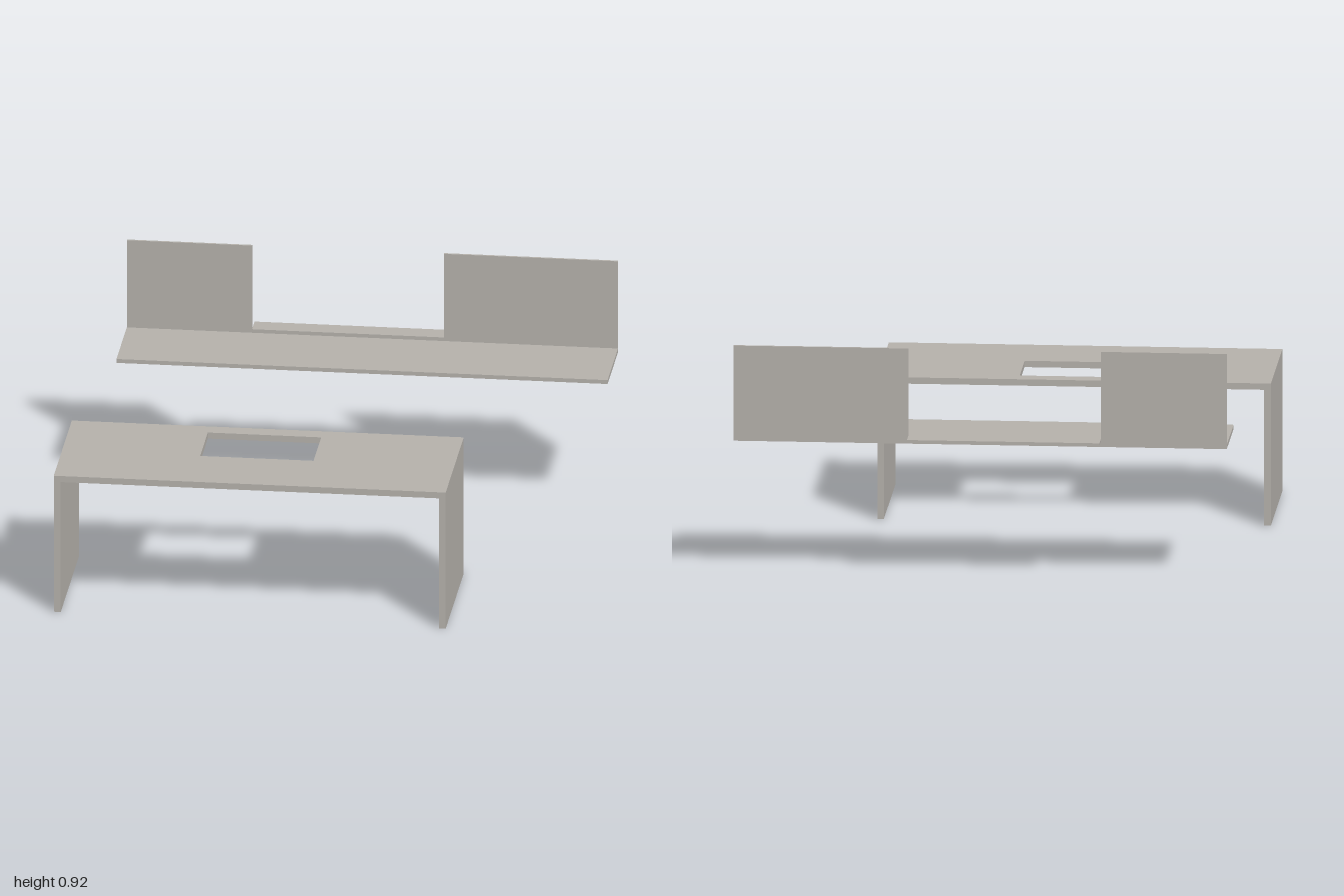
import * as THREE from 'three';

export function createModel() {
  const model = new THREE.Group();
  const panelGrey = new THREE.MeshStandardMaterial({ color: 0xb4b0aa });
  panelGrey.name = 'warmGrey';

  const add = (parent, name, geometry) => {
    const mesh = new THREE.Mesh(geometry, panelGrey);
    mesh.name = name;
    parent.add(mesh);
    return mesh;
  };

  // Box given by its lower and upper limits on each axis
  const slab = (parent, name, [x0, x1], [y0, y1], [z0, z1]) =>
    add(parent, name, new THREE.BoxGeometry(x1 - x0, y1 - y0, z1 - z0))
      .position.set((x0 + x1) / 2, (y0 + y1) / 2, (z0 + z1) / 2);

  const outline = (points) => points.map(([x, y]) => new THREE.Vector2(x, y));
  const rectangle = (x0, x1, y0, y1) => outline([[x0, y0], [x1, y0], [x1, y1], [x0, y1]]);

  // Desk: top with a rectangular opening, on two slab legs
  const desk = new THREE.Group();
  desk.name = 'desk';
  const topShape = new THREE.Shape(rectangle(-1, 0.52, -0.845, -0.255));
  topShape.holes.push(new THREE.Path(rectangle(-0.465, -0.025, -0.57, -0.32)));
  const top = new THREE.ExtrudeGeometry(topShape, { depth: 0.025, bevelEnabled: false });
  top.rotateX(-Math.PI / 2).translate(0, 0.537, 0);
  add(desk, 'deskTop', top);
  slab(desk, 'rightLeg', [-1, -0.973], [0, 0.537], [0.255, 0.845]);
  slab(desk, 'leftLeg', [0.495, 0.52], [0, 0.537], [0.255, 0.845]);

  // Wall counter: shelf, notched back panel and a ledge in the notch
  const counter = new THREE.Group();
  counter.name = 'wallCounter';
  slab(counter, 'shelf', [-0.908, 0.997], [0.54, 0.556], [-0.775, -0.428]);
  const back = new THREE.Shape(outline([
    [-0.908, 0.556], [0.997, 0.556], [0.997, 0.916], [0.322, 0.916],
    [0.322, 0.561], [-0.422, 0.561], [-0.422, 0.916], [-0.908, 0.916],
  ]));
  const backPanel = new THREE.ExtrudeGeometry(back, { depth: 0.009, bevelEnabled: false });
  add(counter, 'backPanel', backPanel.translate(0, 0, -0.775));
  slab(counter, 'passThroughLedge', [-0.422, 0.322], [0.561, 0.571], [-0.847, -0.765]);

  model.add(desk, counter);
  return model;
}
